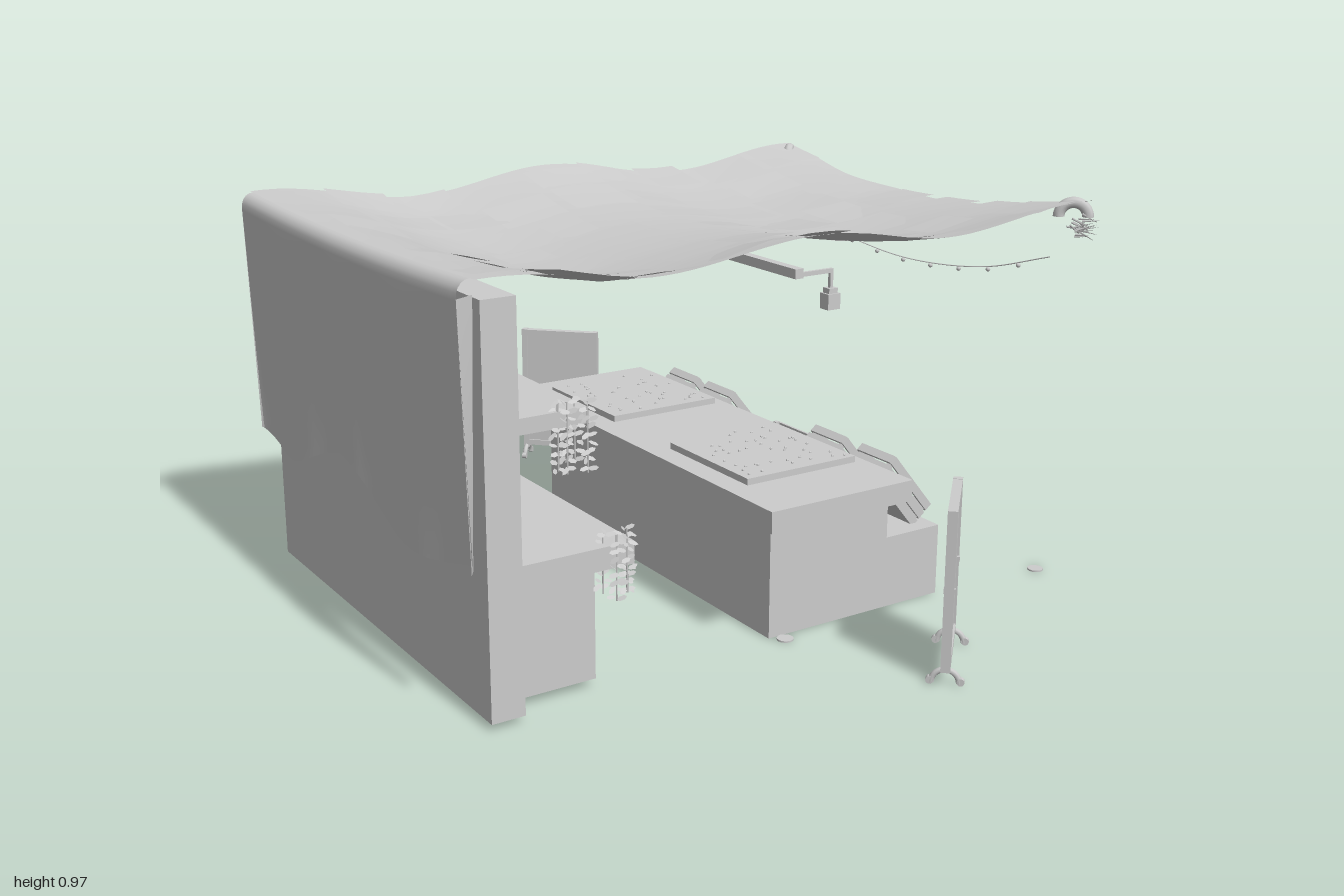
import * as THREE from 'three';

const cloth = new THREE.MeshStandardMaterial({ color: 0xcccccc, side: THREE.DoubleSide });
cloth.name = 'plain grey';

let seed = 7;
const rnd = () => (seed = (seed * 16807) % 2147483647) / 2147483647;
const range = (a, b) => a + (b - a) * rnd();

function add(parent, name, geometry, x = 0, y = 0, z = 0) {
  const m = new THREE.Mesh(geometry, cloth);
  m.name = name;
  m.position.set(x, y, z);
  parent.add(m);
  return m;
}

// Box given by its limits on each axis
function box(parent, name, x0, x1, y0, y1, z0, z1) {
  return add(parent, name, new THREE.BoxGeometry(x1 - x0, y1 - y0, z1 - z0),
    (x0 + x1) / 2, (y0 + y1) / 2, (z0 + z1) / 2);
}

function group(parent, name, x = 0, y = 0, z = 0) {
  const g = new THREE.Group();
  g.name = name;
  g.position.set(x, y, z);
  parent.add(g);
  return g;
}

// Sheet whose points come from a rule f(u, v) -> [x, y, z]
function sheet(parent, name, nu, nv, f) {
  const geo = new THREE.PlaneGeometry(1, 1, nu, nv);
  const p = geo.attributes.position;
  for (let i = 0; i < p.count; i++) p.setXYZ(i, ...f(p.getX(i) + 0.5, 0.5 - p.getY(i)));
  geo.computeVertexNormals();
  return add(parent, name, geo);
}

// Wavy canopy height, sagging along the middle
function roofY(x, z) {
  const s = THREE.MathUtils.smoothstep(x, -0.85, -0.45);
  const t = (z - 0.03) / 0.62;
  return 0.948 + 0.022 * Math.cos(x * Math.PI * 2.5) - (0.015 + 0.06 * s) * Math.max(0, 1 - t * t);
}

function canopy(root) {
  const g = group(root, 'canopy');
  sheet(g, 'canopyCloth', 48, 32, (u, v) => {
    const x = -0.835 + 1.67 * u;
    const ripple = 0.015 * Math.sin(x * 7.5 - 2);
    const z = THREE.MathUtils.lerp(-0.575 + ripple * 0.7, 0.638 - ripple, v);
    return [x + (u > 0.98 ? 0.01 * Math.sin(v * 19) : 0), roofY(x, z), z];
  });
  // Sewn patches, each lifted and tilted a little
  for (let i = 0; i < 9; i++) for (let j = 0; j < 7; j++) {
    const cx = -0.72 + i * 0.18 + range(-0.03, 0.03), cz = -0.5 + j * 0.177 + range(-0.02, 0.02);
    const w = range(0.06, 0.1), d = range(0.05, 0.08);
    const tx = range(-0.06, 0.06), tz = range(-0.06, 0.06);
    sheet(g, 'canopyPatch', 3, 3, (u, v) => {
      const a = (u - 0.5) * 2 * w, b = (v - 0.5) * 2 * d;
      const x = Math.min(0.845, cx + a), z = cz + b;
      return [x, roofY(x, z) + 0.004 + a * tx + b * tz, z];
    });
  }
  // Back drape with a wavy hem
  const hem = new THREE.SplineCurve([[-0.57, 0.36], [-0.36, 0.33], [-0.13, 0.41], [0.02, 0.43],
    [0.2, 0.34], [0.42, 0.33], [0.63, 0.38]].map(p => new THREE.Vector2(...p)));
  sheet(g, 'backDrape', 36, 24, (u, v) => {
    const h = hem.getPoint(u);
    if (v < 0.2) {
      const a = (v / 0.2) * Math.PI / 2;
      return [-0.835 - 0.03 * Math.sin(a), roofY(-0.835, h.x) - 0.035 * (1 - Math.cos(a)), h.x];
    }
    const t = (v - 0.2) / 0.8;
    return [-0.865 + 0.018 * t + 0.008 * t * Math.sin(u * 22),
      THREE.MathUtils.lerp(roofY(-0.835, h.x) - 0.035, h.y, t), h.x];
  });
  // Drape sides folded back to the wall
  for (const z of [-0.57, 0.63]) sheet(g, 'drapeSide', 1, 10, (u, v) => [
    -0.865 + 0.045 * u * (1 - v * 0.7) + 0.015 * v, 0.93 - 0.57 * v, z - Math.sign(z) * 0.02 * u]);
  // Gathered corners with fringe
  for (const s of [-1, 1]) {
    const c = group(g, 'cornerGather', 0.81, 0.925, 0.03 + s * 0.575);
    c.rotation.y = -s * Math.PI / 4;
    add(c, 'cornerRoll', new THREE.TorusGeometry(0.035, 0.014, 8, 16, Math.PI));
    for (let i = 0; i < 22; i++) {
      const f = add(c, 'fringeThread', new THREE.ConeGeometry(0.003, range(0.03, 0.055), 4),
        range(0.01, 0.045), range(-0.045, 0), range(-0.04, 0.04));
      f.rotation.set(range(-0.8, 0.8), 0, -range(1.2, 2.6));
    }
  }
}

// Slatted open crate; origin at its centre, open towards +y
function crate(parent, len, depth, width) {
  const g = group(parent, 'crate');
  const l = len / 2, d = depth / 2, w = width / 2, t = 0.007;
  box(g, 'crateBase', -l, l, -d, -d + t, -w, w);
  for (let k = 0; k < 3; k++) {
    const y = -d + k * depth * 0.35, h = depth * 0.27;
    for (const s of [-1, 1]) {
      box(g, 'sideSlat', -l, l, y, y + h, s * w - t / 2, s * w + t / 2);
      box(g, 'endSlat', s * l - t / 2, s * l + t / 2, y, y + h, -w, w);
    }
  }
  for (const sx of [-1, 1]) for (const sz of [-1, 1])
    box(g, 'cornerPost', sx * (l - 0.01) - 0.006, sx * (l - 0.01) + 0.006, -d, d,
      sz * (w - 0.008) - 0.006, sz * (w - 0.008) + 0.006);
  return g;
}

function frontCounter(root) {
  const g = group(root, 'frontCounter');
  box(g, 'counterBody', -0.05, 0.3, 0, 0.3, -0.484, 0.553);
  box(g, 'crateLedge', 0.3, 0.465, 0, 0.18, -0.484, 0.553);
  box(g, 'counterTop', -0.11, 0.3, 0.3, 0.352, -0.569, 0.638);
  // Trays of small goods
  for (const z of [0.295, -0.305]) {
    box(g, 'tray', -0.05, 0.27, 0.352, 0.368, z - 0.165, z + 0.165);
    for (let i = 0; i < 45; i++)
      add(g, 'seed', new THREE.IcosahedronGeometry(0.004, 0), range(-0.03, 0.25), 0.369, z + range(-0.15, 0.15));
  }
  // Leaning crates
  for (const z of [0.446, 0.258, -0.236, -0.412]) {
    const c = crate(g, 0.185, 0.078, 0.125);
    c.position.set(0.388, 0.268, z);
    c.rotation.z = -0.88;
    box(c, 'produceBed', -0.06, 0.06, -0.03, 0.008, -0.05, 0.05);
    for (let i = 0; i < 8; i++)
      add(c, 'produce', new THREE.SphereGeometry(0.011, 8, 6), range(-0.045, 0.045), 0.01, range(-0.042, 0.042));
  }
  crate(g, 0.13, 0.1, 0.24).position.set(0.395, 0.231, 0.01);
}

// Hanging plant made of leafy strands
function plant(root, x, top, z) {
  const g = group(root, 'hangingPlant', x, top, z);
  for (let s = 0; s < 4; s++) {
    const sx = -0.03 + s * 0.02, len = range(0.13, 0.165), sz = range(-0.02, 0.02);
    add(g, 'stem', new THREE.CylinderGeometry(0.002, 0.002, len, 5), sx, -len / 2, sz);
    for (let y = 0; y < len; y += 0.018) for (const side of [-1, 1]) {
      const leaf = add(g, 'leaf', new THREE.CircleGeometry(0.012, 6), sx + side * 0.009, -y, sz + range(-0.01, 0.01));
      leaf.scale.y = 0.5;
      leaf.rotation.set(range(-1.2, -0.5), range(-0.8, 0.8), side * range(-0.6, 0.2));
    }
  }
}

function backWall(root) {
  const g = group(root, 'backShelving');
  box(g, 'backWall', -0.81, -0.73, 0.016, 0.92, -0.55, 0.62);
  box(g, 'upperShelf', -0.73, -0.57, 0.632, 0.667, -0.55, 0.62);
  box(g, 'backCounterTop', -0.73, -0.46, 0.3, 0.352, -0.55, 0.62);
  box(g, 'backCabinet', -0.73, -0.52, 0.02, 0.3, -0.48, 0.553);
  for (let i = 0; i < 14; i++)
    add(g, 'seed', new THREE.IcosahedronGeometry(0.004, 0), range(-0.7, -0.5), 0.354, range(-0.45, 0));
  plant(g, -0.61, 0.685, 0.615);
  plant(g, -0.495, 0.375, 0.615);
}

// Wheeled notice board standing at an angle
function board(root, z, turn) {
  const g = group(root, 'noticeBoard', 0.212, 0, z);
  g.rotation.y = turn;
  box(g, 'panel', -0.11, 0.11, 0.045, 0.398, -0.006, 0.006);
  for (const s of [-1, 1]) {
    box(g, 'sideRail', s * 0.11 - 0.008, s * 0.11 + 0.008, 0.03, 0.407, -0.011, 0.011);
    const y = s > 0 ? 0.398 : 0.046;
    box(g, 'crossRail', -0.11, 0.11, y - 0.008, y + 0.008, -0.011, 0.011);
    const foot = add(g, 'archedFoot', new THREE.TorusGeometry(0.031, 0.007, 8, 14, Math.PI), s * 0.11, 0.004, 0);
    foot.rotation.y = Math.PI / 2;
    for (const f of [-1, 1]) {
      const w = add(g, 'caster', new THREE.CylinderGeometry(0.009, 0.009, 0.012, 10), s * 0.11, 0.009, f * 0.034);
      w.rotation.z = Math.PI / 2;
      box(g, 'clip', s * 0.098 - 0.005, s * 0.098 + 0.005, 0.21, 0.222, f * 0.01 - 0.003, f * 0.01 + 0.003);
    }
  }
}

function lighting(root) {
  const g = group(root, 'lighting');
  box(g, 'crossBeam', -0.03, -0.008, 0.866, 0.888, -0.55, 0.6);
  for (const z of [0.595, -0.53]) {
    // Lantern on a short arm
    const l = group(g, 'lantern', 0.072, 0.805, z);
    box(l, 'lanternBody', -0.017, 0.017, -0.018, 0.018, -0.015, 0.015);
    box(l, 'lanternCap', -0.012, 0.012, 0.018, 0.03, -0.011, 0.011);
    box(l, 'lanternHanger', -0.004, 0.004, 0.03, 0.072, -0.004, 0.004);
    box(l, 'lanternArm', -0.09, 0.004, 0.064, 0.074, -0.004, 0.004);
    // Round ground plates
    for (const x of [0.785, -0.02])
      add(g, 'groundPlate', new THREE.CylinderGeometry(0.02, 0.02, 0.004, 16), x, 0.002, z * 0.97);
  }
  // String of bulbs along the open side
  const wire = new THREE.CatmullRomCurve3([[0.82, 0.56], [0.755, 0.33], [0.727, 0.05], [0.74, -0.17],
    [0.78, -0.4], [0.82, -0.53]].map(([y, z]) => new THREE.Vector3(0.785, y, z)));
  add(g, 'lightWire', new THREE.TubeGeometry(wire, 40, 0.0015, 5));
  for (let i = 1; i < 10; i++) {
    const p = wire.getPointAt(i / 10);
    add(g, 'bulb', new THREE.SphereGeometry(0.006, 8, 6), p.x, p.y - 0.007, p.z);
  }
}

export function createModel() {
  seed = 7;
  const root = new THREE.Group();
  root.name = 'marketStall';
  canopy(root);
  backWall(root);
  frontCounter(root);
  board(root, 0.88, Math.PI / 4);
  board(root, -0.893, -Math.PI / 4);
  lighting(root);
  return root;
}
